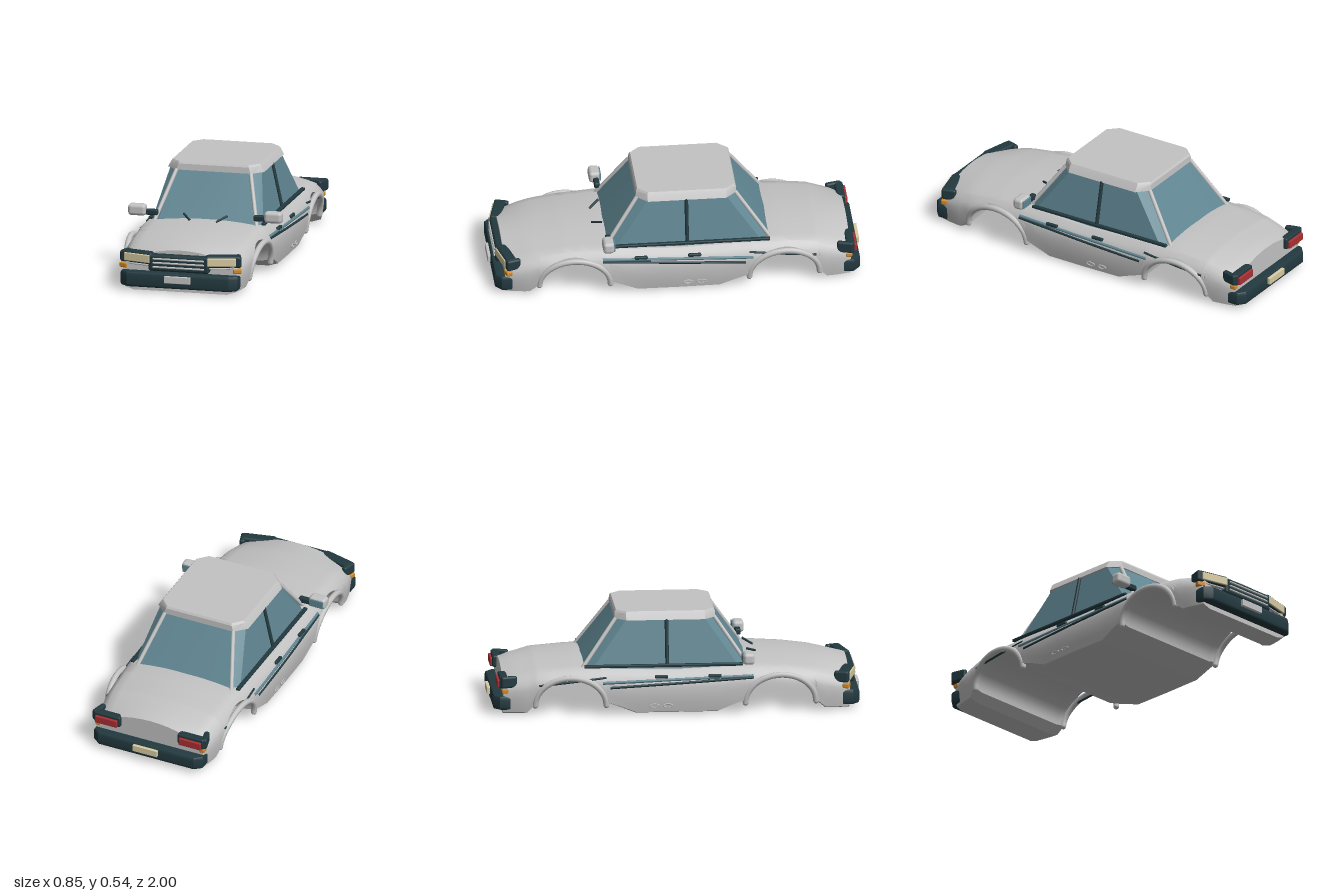
import * as THREE from 'three';
import { toCreasedNormals } from 'three/addons/utils/BufferGeometryUtils.js';
import { RoundedBoxGeometry } from 'three/addons/geometries/RoundedBoxGeometry.js';

const mat = (name, color) => {
  const m = new THREE.MeshStandardMaterial({ color });
  m.name = name;
  return m;
};

// Linear lookup in a short table of [position, value]
function lookup(table, p) {
  for (let i = 1; i < table.length; i++) {
    const [a, va] = table[i - 1], [b, vb] = table[i];
    if (p <= b) return va + (vb - va) * Math.max(0, (p - a) / (b - a));
  }
  return table[table.length - 1][1];
}

// Skin over closed rings of equal length, capped at both ends
function loft(rings, crease = 0.6) {
  const n = rings[0].length, pos = rings.flat(2), idx = [];
  for (let r = 0; r < rings.length - 1; r++) {
    for (let i = 0; i < n; i++) {
      const a = r * n + i, b = r * n + (i + 1) % n;
      idx.push(a, b, b + n, a, b + n, a + n);
    }
  }
  const last = (rings.length - 1) * n;
  for (let i = 1; i < n - 1; i++) idx.push(0, i + 1, i, last, last + i, last + i + 1);
  const g = new THREE.BufferGeometry();
  g.setAttribute('position', new THREE.Float32BufferAttribute(pos, 3));
  g.setIndex(idx);
  return toCreasedNormals(g, crease);
}

const ARCHES = [0.557, -0.57];
const TOP = [[-0.93, 0.232], [-0.87, 0.248], [-0.75, 0.265], [-0.55, 0.273], [-0.4, 0.268], [0, 0.26],
  [0.4, 0.275], [0.6, 0.268], [0.8, 0.249], [0.93, 0.228]];
const DROP = [[-0.93, 0.055], [-0.75, 0.032], [-0.4, 0.022], [0.4, 0.025], [0.75, 0.032], [0.93, 0.055]];
const WIDTH = [[-0.93, 0.315], [-0.85, 0.337], [-0.7, 0.356], [-0.4, 0.37], [0, 0.375],
  [0.4, 0.37], [0.7, 0.356], [0.85, 0.337], [0.93, 0.315]];
const FLOOR = [[-0.93, 0], [-0.8, 0.004], [-0.76, 0.05], [-0.37, 0.06], [-0.22, 0],
  [0.22, 0], [0.36, 0.06], [0.75, 0.05], [0.8, 0.004], [0.93, 0]];

// Underside height, raised in the wheel arches
function floorY(z) {
  let y = lookup(FLOOR, z);
  for (const c of ARCHES) {
    const k = 1 - ((z - c) / 0.19) ** 2;
    if (k > 0) y = Math.max(y, 0.05 + 0.152 * Math.sqrt(k));
  }
  return y;
}
const edgeY = z => lookup(TOP, z) - lookup(DROP, z);

// Half width of the body side at height y
function sideX(y, z) {
  const u = y / edgeY(z);
  const low = 1 - 0.05 * Math.max(0, 1 - y / 0.13) ** 2;
  return lookup(WIDTH, z) * low * (1 - 0.14 * (Math.max(0, u - 0.65) / 0.35) ** 2);
}

function bodyRing(z) {
  const yb = floorY(z), ye = edgeY(z), y0 = yb + 0.015, half = [];
  half.push([0.82 * lookup(WIDTH, z), yb, z]);
  for (const t of [0, 0.2, 0.4, 0.6, 0.75, 0.88, 1]) {
    const y = y0 + (ye - y0) * t;
    half.push([sideX(y, z), y, z]);
  }
  const xe = sideX(ye, z), drop = lookup(DROP, z);
  for (const f of [0.85, 0.65, 0.4, 0.2]) half.push([xe * f, ye + drop * (1 - f * f), z]);
  const left = half.map(([x, y, w]) => [-x, y, w]).reverse();
  return [...half, [0, ye + drop, z], ...left];
}

// Eight-cornered ring with gently bowed ends, for the cabin
function cabinRing(y, side, endX, front, rear, cut, bow = 0) {
  const half = [[0, y, front + bow], [endX, y, front], [side, y, front - cut], [side, y, rear + cut], [endX, y, rear], [0, y, rear - bow]];
  return [...half, ...half.slice(1, 5).reverse().map(([x, h, z]) => [-x, h, z])];
}

export function createModel() {
  const car = new THREE.Group();
  car.name = 'carBody';
  const paint = mat('grey paint', 0xc3c3c3), dark = mat('dark trim', 0x22393f), glass = mat('blue glass', 0x608692);
  const red = mat('red lens', 0xa92f33), amber = mat('amber lens', 0xd48a28), cream = mat('cream lens', 0xd9cda3);

  const add = (name, geo, m, x = 0, y = 0, z = 0, ry = 0) => {
    const mesh = new THREE.Mesh(geo, m);
    mesh.name = name;
    mesh.position.set(x, y, z);
    mesh.rotation.y = ry;
    car.add(mesh);
    return mesh;
  };
  const block = (w, h, d, r = 0.008) => new RoundedBoxGeometry(w, h, d, 2, r);
  const tube = (pts, r, seg = 1) => {
    const v = pts.map(p => new THREE.Vector3(...p));
    const curve = v.length === 2 ? new THREE.LineCurve3(...v) : new THREE.CatmullRomCurve3(v);
    return new THREE.TubeGeometry(curve, seg, r, 10);
  };

  // Shell, with extra stations around the arches
  const stations = new Set([-0.93, -0.9, -0.87, -0.83, -0.8, 0.8, 0.83, 0.87, 0.9, 0.93, -0.22, -0.1, 0, 0.1, 0.22, -0.3, 0.3]);
  for (const c of ARCHES) for (let i = 0; i <= 20; i++) stations.add(c - 0.19 * Math.cos(Math.PI * i / 20));
  add('bodyShell', loft([...stations].sort((a, b) => a - b).map(bodyRing)), paint);

  // Cabin glass and roof
  add('cabinGlass', loft([
    cabinRing(0.225, 0.312, 0.272, 0.4, -0.515, 0.05, 0.015),
    cabinRing(0.5, 0.252, 0.2, 0.205, -0.315, 0.05, 0.006)], 0.3), glass);
  add('roof', loft([
    cabinRing(0.497, 0.266, 0.205, 0.217, -0.325, 0.06),
    cabinRing(0.53, 0.248, 0.195, 0.214, -0.323, 0.055),
    cabinRing(0.541, 0.24, 0.19, 0.207, -0.316, 0.053)], 0.4), paint);

  // Bumpers and number plates
  for (const s of [1, -1]) {
    const h = s > 0 ? 0.083 : 0.075;
    const bar = new THREE.Shape([[-0.322, 0.9], [0.322, 0.9], [0.322, 0.945], [0.285, 0.975], [-0.285, 0.975], [-0.322, 0.945]]
      .map(p => new THREE.Vector2(p[0] * 0.98, p[1])));
    const g = new THREE.ExtrudeGeometry(bar, { depth: h - 0.03, bevelEnabled: true, bevelSize: 0.012, bevelThickness: 0.015, bevelSegments: 3, bevelOffset: -0.004 });
    g.rotateX(Math.PI / 2);
    if (s < 0) g.rotateY(Math.PI);
    add(s > 0 ? 'frontBumper' : 'rearBumper', toCreasedNormals(g, 0.5), dark, 0, 0.067 + h / 2 - 0.015, 0);
    add(s > 0 ? 'frontPlate' : 'rearPlate', block(0.145, 0.038, 0.018, 0.003), s > 0 ? paint : cream, 0, 0.078, s * 0.99);
  }

  // Grille
  add('grilleFrame', block(0.335, 0.092, 0.06, 0.014), dark, 0, 0.16, 0.937);
  for (const y of [0.184, 0.162, 0.139]) add('grilleBar', block(0.285, 0.01, 0.012, 0.004), paint, 0, y, 0.968);

  for (const s of [1, -1]) {
    // Headlights and front indicators
    add('headlightFrame', block(0.185, 0.064, 0.06, 0.012), dark, s * 0.233, 0.18, 0.915, s * 0.24);
    add('headlightCorner', block(0.03, 0.062, 0.08, 0.012), dark, s * 0.312, 0.179, 0.886, s * 0.3);
    add('headlightLens', block(0.155, 0.045, 0.02, 0.005), cream, s * 0.233, 0.179, 0.942, s * 0.24);
    add('headlightTrim', block(0.15, 0.009, 0.02, 0.004), paint, s * 0.235, 0.143, 0.93, s * 0.2);
    add('frontIndicator', block(0.045, 0.026, 0.035, 0.006), amber, s * 0.311, 0.13, 0.913, s * 0.35);

    // Tail lights and rear indicators
    add('tailLightFrame', block(0.155, 0.064, 0.045, 0.01), dark, s * 0.247, 0.18, -0.928);
    add('tailLightCorner', block(0.03, 0.064, 0.09, 0.012), dark, s * 0.315, 0.182, -0.9, s * -0.25);
    add('tailLightLens', block(0.13, 0.043, 0.02, 0.005), red, s * 0.248, 0.173, -0.953);
    add('rearIndicator', block(0.03, 0.024, 0.035, 0.006), amber, s * 0.308, 0.132, -0.92);

    // Pillars and belt moulding
    add('frontPillar', tube([[s * 0.285, 0.24, 0.39], [s * 0.205, 0.498, 0.21]], 0.011), paint);
    add('rearPillar', tube([[s * 0.28, 0.24, -0.505], [s * 0.202, 0.498, -0.318]], 0.011), paint);
    add('middlePillar', tube([[s * 0.312, 0.25, -0.05], [s * 0.256, 0.5, -0.05]], 0.01), dark);
    add('beltMoulding', block(0.022, 0.016, 0.85, 0.005), dark, s * 0.312, 0.258, -0.07);

    // Side stripe, following the body
    const stripe = (z0, z1, y0, y1, r, m, name) => {
      const pts = [];
      for (let i = 0; i <= 8; i++) {
        const z = z0 + (z1 - z0) * i / 8, y = y0 + (y1 - y0) * i / 8;
        pts.push([s * (sideX(y, z) - r * 0.25), y, z]);
      }
      add(name, tube(pts, r, 16), m);
    };
    stripe(0.41, -0.36, 0.194, 0.152, 0.007, dark, 'sideStripeLower');
    stripe(0.41, -0.4, 0.203, 0.178, 0.008, glass, 'sideStripeUpper');
    stripe(-0.38, -0.74, 0.205, 0.165, 0.006, dark, 'sideStripeRear');

    // Arch lips
    for (const c of ARCHES) {
      const pts = [];
      for (let i = 0; i <= 16; i++) {
        const a = Math.PI * i / 16, z = c + 0.19 * Math.cos(a), y = 0.055 + 0.152 * Math.sin(a);
        pts.push([s * (lookup(WIDTH, z) * 0.955 + 0.019 * Math.sin(a)), y, z]);
      }
      add('archLip', tube(pts, 0.016, 40), paint);
      for (const e of [pts[0], pts[16]]) add('archLipEnd', new THREE.SphereGeometry(0.016, 10, 8), paint, ...e);
    }

    // Door handles and sill jacking rings
    for (const z of [0.203, -0.085]) add('doorHandle', block(0.018, 0.018, 0.07, 0.006), dark, s * (sideX(0.207, z) + 0.004), 0.207, z);
    for (const z of [-0.05, -0.122]) {
      const ring = new THREE.TorusGeometry(0.014, 0.0035, 6, 16);
      ring.scale(1.6, 0.7, 1).rotateY(Math.PI / 2);
      add('sillRing', ring, paint, s * (sideX(0.05, z) + 0.003), 0.05, z);
    }

    // Door mirrors
    add('mirrorArm', block(0.08, 0.032, 0.03, 0.008), dark, s * 0.305, 0.295, 0.375);
    add('mirrorHousing', block(0.098, 0.062, 0.06, 0.018), paint, s * 0.376, 0.307, 0.382);
    add('mirrorGlass', block(0.078, 0.044, 0.008, 0.003), glass, s * 0.376, 0.307, 0.351);

    // Wipers
    add('wiper', tube([[s * 0.07, 0.274, 0.44], [s * 0.12, 0.299, 0.385]], 0.006), dark);
  }
  return car;
}
